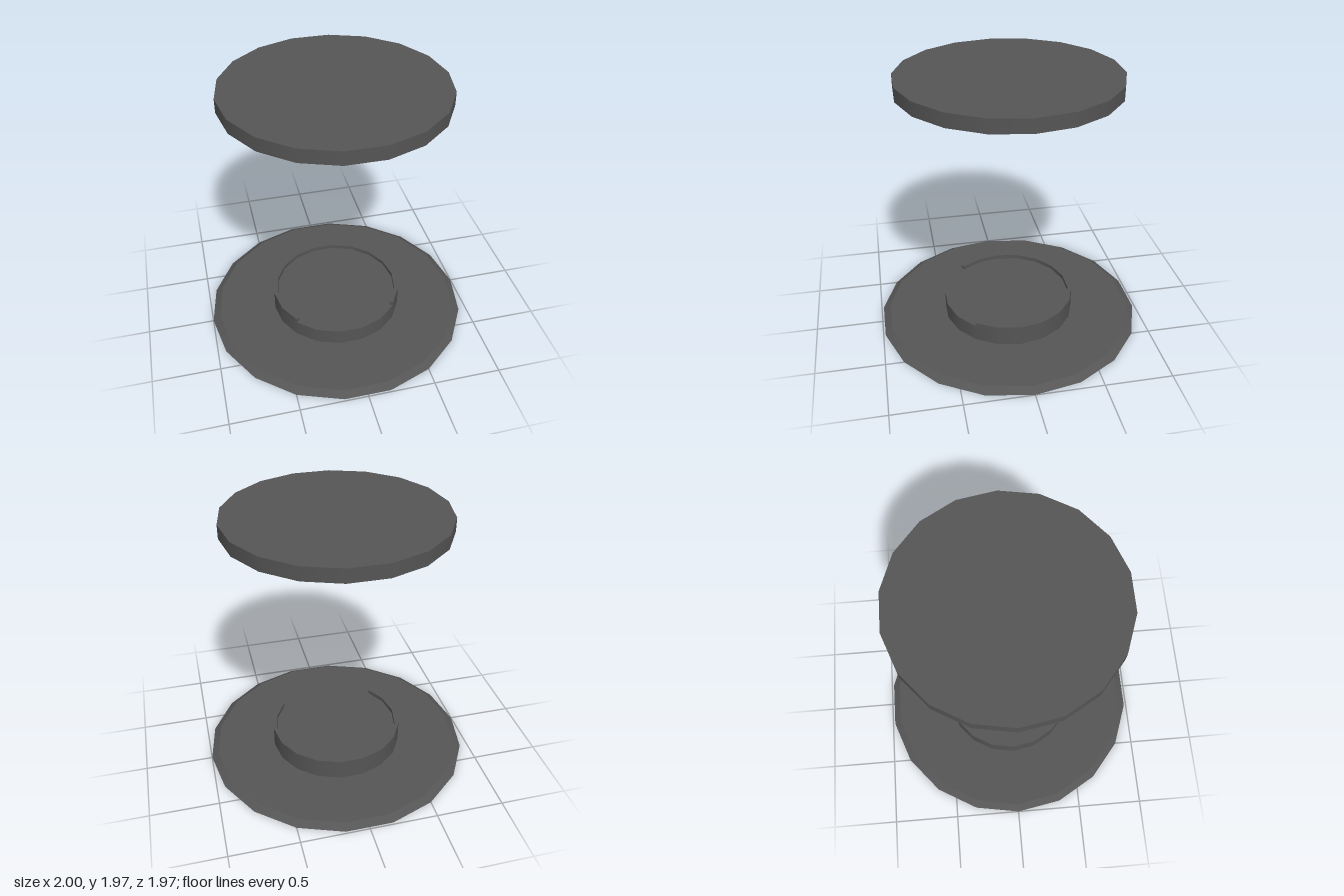
import * as THREE from 'three';
import { toCreasedNormals } from 'three/addons/utils/BufferGeometryUtils.js';

const SIDES = 18, STEP = 20, CREASE = 0.5;

export function createModel() {
  const model = new THREE.Group();
  const darkGrey = new THREE.MeshStandardMaterial({ color: 0x555555 });
  darkGrey.name = 'dark grey';

  const add = (parent, name, geometry) => {
    const mesh = new THREE.Mesh(geometry, darkGrey);
    mesh.name = name;
    parent.add(mesh);
    return mesh;
  };

  // Polygonal disc between two heights, with a corner on the x axis
  const disc = (rTop, rBottom, y0, y1) =>
    new THREE.CylinderGeometry(rTop, rBottom, y1 - y0, SIDES, 1, false, Math.PI / 2)
      .translate(0, (y0 + y1) / 2, 0);

  // Points along a polygonal arc, angles in degrees from +x towards +z
  const arc = (r, from, to) => {
    const points = [];
    for (let a = from; a <= to; a += STEP) {
      const t = THREE.MathUtils.degToRad(a);
      points.push(new THREE.Vector2(r * Math.cos(t), r * Math.sin(t)));
    }
    return points;
  };
  const sector = (rIn, rOut, from, to) => [...arc(rOut, from, to), ...arc(rIn, from, to).reverse()];

  // Flat outline extruded between two heights
  const slab = (shape, y0, y1) => toCreasedNormals(
    new THREE.ExtrudeGeometry(shape, { depth: y1 - y0, bevelEnabled: false })
      .rotateX(Math.PI / 2).translate(0, y1, 0), CREASE);

  // Lower plate with a raised drum and an open-fronted lip
  const base = new THREE.Group();
  base.name = 'base';
  model.add(base);
  add(base, 'basePlate', disc(0.945, 1, 0, 0.033));
  add(base, 'baseDrum', disc(0.5, 0.5, 0.033, 0.157));
  add(base, 'drumLip', slab(new THREE.Shape(sector(0.47, 0.5, 140, 400)), 0.157, 0.188));

  // Floating upper disc with four arc pockets in its underside
  const top = new THREE.Group();
  top.name = 'upperDisc';
  top.position.set(-0.004, 0, -0.007);
  model.add(top);
  add(top, 'discTop', disc(0.795, 0.795, 1.91, 1.965));
  const underside = new THREE.Shape(arc(0.795, 0, 340));
  for (const start of [0, 100, 180, 280]) {
    underside.holes.push(new THREE.Path(sector(0.545, 0.725, start, start + 60)));
  }
  add(top, 'pocketedUnderside', slab(underside, 1.865, 1.91));

  // Tapered collar below the disc, open in the middle
  const profile = [[0.317, 1.865], [0.317, 1.794], [0.42, 1.794], [0.455, 1.865]]
    .map(([r, y]) => new THREE.Vector2(r, y));
  add(top, 'taperedCollar', toCreasedNormals(
    new THREE.LatheGeometry(profile, SIDES, Math.PI / 2), CREASE));

  return model;
}
